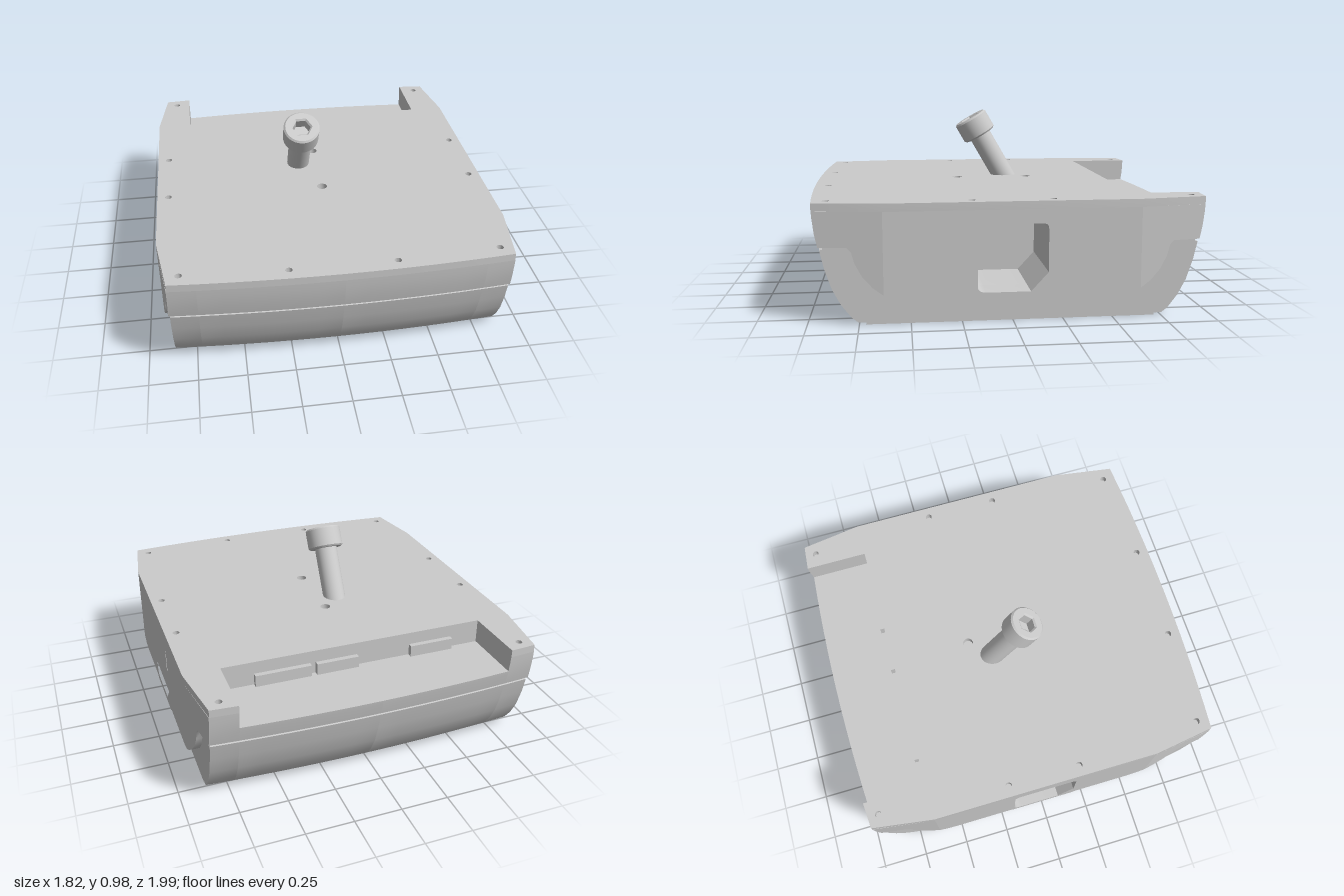
import * as THREE from 'three';
import { toCreasedNormals } from 'three/addons/utils/BufferGeometryUtils.js';

const HALF = 0.86;    // half width of the inner body
const DECK = 0.56;    // underside of the top plate
const bulge = x => 0.035 * (x / HALF) ** 2;
const pts = list => list.map(([a, b]) => new THREE.Vector2(a, b));

export function createModel() {
  const model = new THREE.Group();
  const material = new THREE.MeshStandardMaterial({ color: 0xcccccc });

  function add(name, geometry, parent = model, crease = 0.5) {
    const mesh = new THREE.Mesh(toCreasedNormals(geometry, crease), material);
    mesh.name = name;
    parent.add(mesh);
    return mesh;
  }

  // Side opening: rounded square with one cut lower corner
  function opening(s) {
    const p = new THREE.Path(), a = 0.178, t = 0.49, b = 0.14, r = 0.045;
    p.moveTo(s * (a - r), t);
    p.quadraticCurveTo(s * a, t, s * a, t - r);
    p.lineTo(s * a, b + r);
    p.quadraticCurveTo(s * a, b, s * (a - r), b);
    p.lineTo(s * -0.09, b);
    p.lineTo(s * -a, 0.235);
    p.lineTo(s * -a, t - r);
    p.quadraticCurveTo(s * -a, t, s * (r - a), t);
    p.closePath();
    return p;
  }

  // Extrude a (z, y) profile along x from x0 to x1
  function alongX(profile, x0, x1, steps, hole) {
    const shape = new THREE.Shape(pts(profile));
    if (hole) shape.holes.push(hole);
    const g = new THREE.ExtrudeGeometry(shape, { depth: x1 - x0, steps, bevelEnabled: false, curveSegments: 6 });
    return g.rotateY(-Math.PI / 2).translate(x1, 0, 0);
  }

  // Body: curved ends with a seam groove, bowed in plan
  const end = [
    [0.75, 0.01], [0.79, 0.012], [0.82, 0.035], [0.87, 0.1], [0.912, 0.18], [0.945, 0.28], [0.966, 0.372],
    [0.952, 0.375], [0.952, 0.384], [0.973, 0.386], [0.987, 0.45], [0.996, 0.52], [0.999, DECK],
  ];
  const back = end.map(([z, y]) => [-z, y]).reverse();
  const notch = [[-0.63, DECK], [-0.63, 0.47], [-0.99, 0.47], ...back.filter(p => p[1] < 0.47)];
  const segments = [[-HALF, -0.72, 2], [-0.72, 0, 6], [0, 0.72, 6], [0.72, HALF, 2]];
  for (const [x0, x1, steps] of segments) {
    const inner = steps > 2;
    const g = alongX([...end, ...(inner ? notch : back)], x0, x1, steps, opening(x1 > 0 ? 1 : -1));
    const p = g.attributes.position;
    for (let i = 0; i < p.count; i++) {
      const z = p.getZ(i);
      if (Math.abs(z) > 0.7) p.setZ(i, z - Math.sign(z) * bulge(p.getX(i)));
    }
    add(inner ? 'bodyCentre' : 'bodyEdge', g);
  }

  // Side skirts: flat middle, tapering ends
  const skirtWidth = z => 0.91 - 0.048 * Math.max(0, (Math.abs(z) - 0.63) / 0.335);
  const middle = [
    [0.63, DECK], [0.63, 0.155], [0.58, 0.13], [0.53, 0.12], [0.2, 0.12], [0.18, 0.107],
    [-0.18, 0.107], [-0.2, 0.12], [-0.53, 0.12], [-0.58, 0.13], [-0.63, 0.155], [-0.63, DECK],
  ];
  const taper = [
    [0.63, DECK], [0.63, 0.155], [0.68, 0.19], [0.73, 0.245], [0.765, 0.31], [0.78, 0.365],
    [0.8, 0.386], [0.938, 0.386], [0.952, 0.45], [0.961, 0.52], [0.964, DECK],
  ];
  for (const side of [1, -1]) {
    const pieces = [[middle, opening(side)], [taper], [taper.map(([z, y]) => [-z, y])]];
    for (const [profile, hole] of pieces) {
      const g = alongX(profile, 0, 1, 1, hole);
      const p = g.attributes.position;
      for (let i = 0; i < p.count; i++) {
        const outer = (p.getX(i) > 0.5) === (side > 0);
        p.setX(i, side * (outer ? skirtWidth(p.getZ(i)) : HALF));
      }
      add(side > 0 ? 'leftSkirt' : 'rightSkirt', g);
    }
  }

  // Blind ends of the side openings, each with a round boss
  const plug = new THREE.BoxGeometry(0.8, 0.38, 0.38).translate(0, 0.315, 0);
  add('openingBack', plug);
  const boss = new THREE.CylinderGeometry(0.17, 0.17, 0.82, 40).rotateZ(Math.PI / 2);
  add('roundBoss', boss.translate(0, 0.318, 0));

  // Flat plate in plan with drilled holes given as [x, z, radius]
  function plate(outline, holes, y, height) {
    const shape = new THREE.Shape(pts(outline.map(([x, z]) => [x, -z])));
    for (const [x, z, r] of holes) {
      shape.holes.push(new THREE.Path().absarc(x, -z, r, 0, Math.PI * 2, true));
    }
    const g = new THREE.ExtrudeGeometry(shape, { depth: height, bevelEnabled: false, curveSegments: 8 });
    return g.rotateX(-Math.PI / 2).translate(0, y, 0);
  }
  const bow = (z, from, to) => Array.from({ length: 13 }, (_, i) => {
    const x = from + (to - from) * i / 12;
    return [x, z - Math.sign(z) * bulge(x)];
  });

  // Top plate with the rear recess
  const topOutline = [
    ...bow(1, -HALF, HALF), [0.91, 0.63], [0.91, -0.63], [HALF, -0.965], [0.72, -1 + bulge(0.72)],
    [0.72, -0.63], [-0.72, -0.63], [-0.72, -1 + bulge(0.72)], [-HALF, -0.965], [-0.91, -0.63], [-0.91, 0.63],
  ];
  const topHoles = [[0, -0.19, 0.028], [0, 0.21, 0.028]];
  for (const s of [1, -1]) {
    for (const [x, z] of [[0.8, -0.91], [0.8, 0.9], [0.85, -0.2], [0.85, 0.2], [0.27, 0.93]]) {
      topHoles.push([s * x, z, 0.018]);
    }
  }
  add('topPlate', plate(topOutline, topHoles, DECK, 0.6 - DECK));

  // Bottom plate with screw holes
  const bottomHoles = [[0, 0.35], [0, 0.62], [-0.1, -0.55], [-0.1, -0.68]];
  for (const s of [1, -1]) bottomHoles.push([s * 0.74, -0.62], [s * 0.74, 0.42]);
  add('bottomPlate', plate(
    [...bow(0.75, -HALF, HALF), ...bow(-0.75, HALF, -HALF)],
    bottomHoles.map(([x, z]) => [x, z, 0.018]), 0, 0.01));

  // Connector sockets on the recess wall
  for (const [x0, x1] of [[-0.555, -0.31], [-0.01, 0.22], [0.25, 0.55]]) {
    const g = new THREE.BoxGeometry(x1 - x0, 0.065, 0.04);
    add('connector', g.translate((x0 + x1) / 2, 0.5, -0.637));
  }

  // Tilted socket-head bolt; local y = 0 is the underside of the head
  const bolt = new THREE.Group();
  bolt.name = 'bolt';
  bolt.position.set(-0.1, 0.837, 0.067);
  bolt.rotation.x = Math.PI / 6;
  model.add(bolt);
  add('boltShaft', new THREE.CylinderGeometry(0.063, 0.063, 0.48, 32).translate(0, -0.19, 0), bolt);
  const head = new THREE.Shape().absarc(0, 0, 0.09, 0, Math.PI * 2);
  const hex = Array.from({ length: 6 }, (_, i) => [
    0.06 * Math.cos(i * Math.PI / 3), 0.06 * Math.sin(i * Math.PI / 3)]);
  head.holes.push(new THREE.Path(pts(hex)));
  const headGeometry = new THREE.ExtrudeGeometry(head, {
    depth: 0.1, bevelSize: 0.009, bevelThickness: 0.009, bevelSegments: 1, curveSegments: 20,
  });
  add('boltHead', headGeometry.rotateX(-Math.PI / 2).translate(0, 0.009, 0), bolt);

  return model;
}
